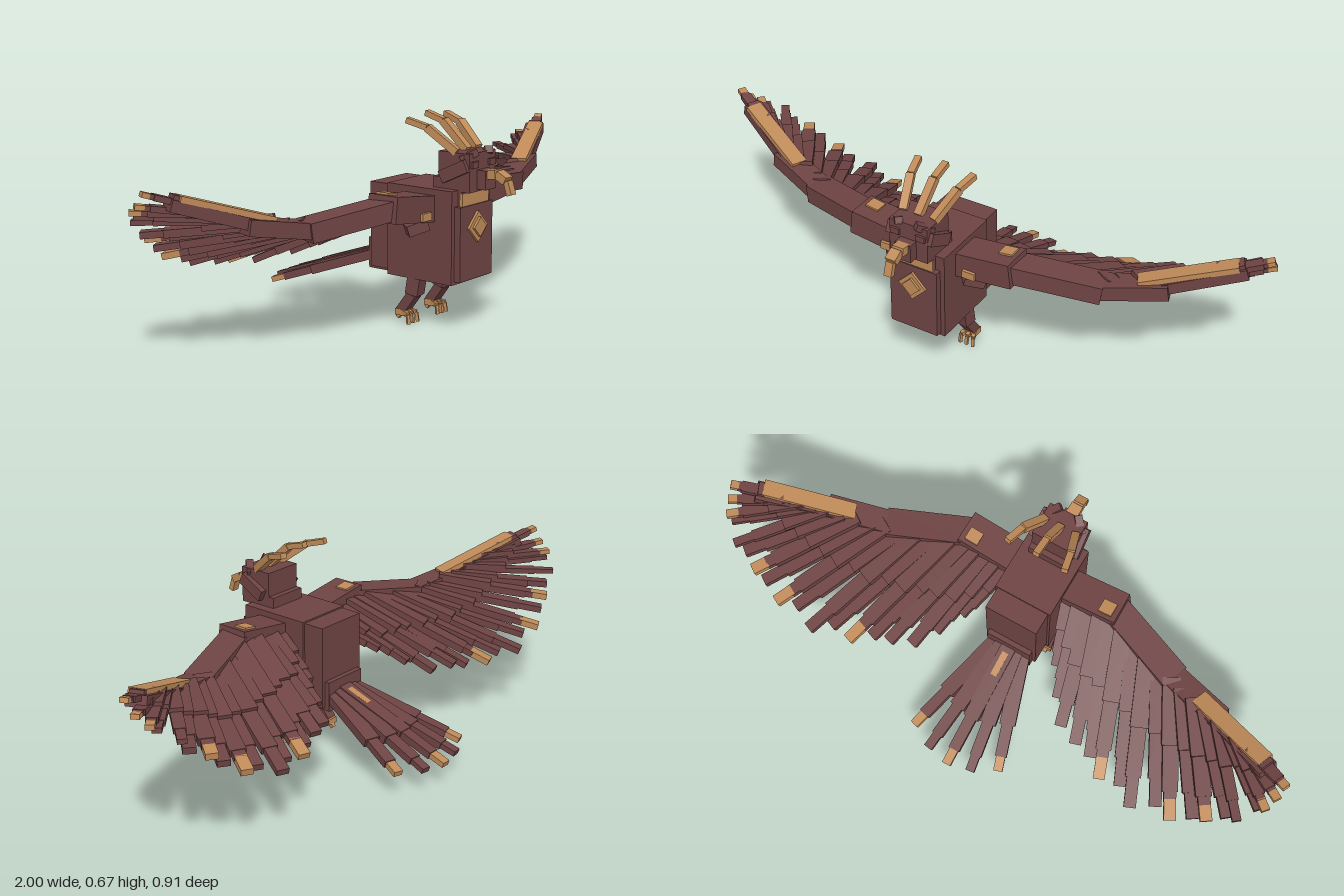
import * as THREE from 'three';

const mat = (name, color) => {
  const m = new THREE.MeshStandardMaterial({ color });
  m.name = name;
  return m;
};

export function createModel() {
  const brown = mat('russet brown', 0x6e4343);
  const gold = mat('gold', 0xbf8a58);
  const model = new THREE.Group();
  const V = (p) => new THREE.Vector3(...p);

  // Axis-aligned block given by its limits on each axis
  function block(name, m, [x0, x1], [y0, y1], [z0, z1], parent = model) {
    const mesh = new THREE.Mesh(new THREE.BoxGeometry(x1 - x0, y1 - y0, z1 - z0), m);
    mesh.position.set((x0 + x1) / 2, (y0 + y1) / 2, (z0 + z1) / 2);
    mesh.name = name;
    parent.add(mesh);
  }
  // Long block running from a to b, w wide and h thick
  function beam(name, m, a, b, w, h, parent = model) {
    const mesh = new THREE.Mesh(new THREE.BoxGeometry(w, h, a.distanceTo(b)), m);
    mesh.position.copy(a);
    mesh.lookAt(b);
    mesh.position.lerpVectors(a, b, 0.5);
    mesh.name = name;
    parent.add(mesh);
  }
  // Beams through a row of points with a width and thickness for each
  function chain(name, m, points, sizes, parent = model) {
    sizes.forEach(([w, h], i) => beam(name, m, V(points[i]), V(points[i + 1]), w, h, parent));
  }

  // Body
  block('body', brown, [-0.1, 0.1], [0.155, 0.45], [0.05, 0.3]);
  block('chest', brown, [-0.085, 0.085], [0.165, 0.4], [0.28, 0.322]);
  block('back', brown, [-0.092, 0.092], [0.17, 0.445], [-0.025, 0.06]);
  block('rump', brown, [-0.08, 0.08], [0.16, 0.26], [-0.042, 0.05]);
  block('neck', brown, [-0.068, 0.068], [0.4, 0.485], [0.205, 0.313]);
  block('collar', gold, [-0.07, 0.07], [0.4, 0.44], [0.31, 0.318]);

  // Chest ornament: stacked diamonds
  [[0.07, 0.326], [0.045, 0.334]].forEach(([s, z]) => {
    const d = new THREE.Mesh(new THREE.BoxGeometry(s, s, 0.009), gold);
    d.rotation.z = Math.PI / 4;
    d.position.set(0, 0.33, z);
    d.name = 'chestDiamond';
    model.add(d);
  });

  // Head and beak
  const head = new THREE.Group();
  head.name = 'head';
  model.add(head);
  block('skull', brown, [-0.068, 0.068], [0.445, 0.565], [0.225, 0.342], head);
  block('beakBase', brown, [-0.028, 0.028], [0.452, 0.512], [0.33, 0.374], head);
  chain('beak', gold, [[0, 0.498, 0.365], [0, 0.503, 0.402], [0, 0.485, 0.436], [0, 0.442, 0.45]],
    [[0.04, 0.028], [0.036, 0.026], [0.026, 0.018]], head);

  // Crest plumes
  [-1, 0, 1].forEach((k) => {
    const lift = k ? -0.012 : 0;
    chain('crestPlume', gold,
      [[k * 0.055, 0.565, 0.285], [k * 0.085, 0.648 + lift, 0.195], [k * 0.1, 0.667 + lift, 0.128]],
      [[0.026, 0.024], [0.022, 0.018]], head);
  });

  // Tail fan
  [-2, -1, 0, 1, 2].forEach((k) => {
    const d = Math.abs(k);
    const a = V([k * 0.022, 0.222 - d * 0.006, -0.02]);
    const b = V([k * 0.08, 0.075 + d * 0.004, [-0.45, -0.433, -0.388][d]]);
    const at = (t) => a.clone().lerp(b, t);
    beam('tailFeather', brown, a, at(0.62), 0.052, 0.03);
    beam('tailFeatherOuter', brown, at(0.55), at(0.88), 0.038, 0.024);
    beam('tailTip', d === 1 ? brown : gold, at(0.86), b, 0.03, 0.018);
  });
  beam('tailMark', gold, V([0, 0.22, -0.06]), V([0, 0.193, -0.14]), 0.022, 0.008);

  // Wing feather tips from the body outward; the last number marks a gilded tip
  const tips = [
    [0.18, 0.3, -0.04, 0], [0.23, 0.26, -0.12, 0], [0.28, 0.23, -0.19, 0], [0.35, 0.235, -0.22, 0],
    [0.41, 0.22, -0.23, 0], [0.47, 0.225, -0.28, 1], [0.54, 0.235, -0.27, 0], [0.6, 0.235, -0.315, 0],
    [0.67, 0.265, -0.28, 0], [0.73, 0.28, -0.3, 1], [0.79, 0.32, -0.27, 0], [0.83, 0.355, -0.265, 1],
    [0.88, 0.38, -0.23, 0], [0.91, 0.42, -0.235, 0], [0.95, 0.45, -0.18, 0], [0.97, 0.465, -0.175, 1],
    [0.985, 0.49, -0.135, 1], [0.99, 0.53, -0.1, 1],
  ];
  const roots = [[0.12, 0.38, 0.15], [0.28, 0.4, 0.14], [0.5, 0.37, 0.085], [0.7, 0.415, 0.02], [0.84, 0.47, -0.03]];

  for (const s of [1, -1]) {
    const M = (p) => [p[0] * s, p[1], p[2]];
    const side = s > 0 ? 'left' : 'right';

    // Face: cheek plates and brow tufts
    beam('cheekPlate', brown, V(M([0.072, 0.53, 0.335])), V(M([0.078, 0.487, 0.245])), 0.02, 0.04, head);
    beam('brow', brown, V(M([0.03, 0.57, 0.345])), V(M([0.065, 0.545, 0.305])), 0.025, 0.022, head);
    block('browRidge', brown, [s * 0.045 - 0.016, s * 0.045 + 0.016], [0.52, 0.54], [0.336, 0.35], head);

    // Wing arm with gold trim
    const wing = new THREE.Group();
    wing.name = side + 'Wing';
    model.add(wing);
    chain('wingArm', brown, [[0.07, 0.385, 0.18], [0.29, 0.413, 0.182]].map(M), [[0.11, 0.082]], wing);
    chain('forearm', brown, [[0.26, 0.41, 0.182], [0.53, 0.373, 0.085]].map(M), [[0.095, 0.06]], wing);
    chain('wrist', brown, [[0.5, 0.373, 0.095], [0.72, 0.412, 0.025]].map(M), [[0.08, 0.048]], wing);
    chain('hand', brown, [[0.68, 0.41, 0.035], [0.92, 0.495, -0.07]].map(M), [[0.065, 0.036]], wing);
    chain('handBand', gold, [[0.63, 0.422, 0.054], [0.9, 0.512, -0.052]].map(M), [[0.054, 0.018]], wing);
    chain('elbowMark', gold, [[0.222, 0.447, 0.163], [0.268, 0.4535, 0.163]].map(M), [[0.045, 0.009]], wing);
    block('shoulderStud', gold, [s * 0.15 - 0.022, s * 0.15 + 0.022], [0.36, 0.385], [0.225, 0.246], wing);
    chain('underarm', brown, [[0.12, 0.345, 0.22], [0.17, 0.325, 0.18]].map(M), [[0.05, 0.035]], wing);

    // Wing feathers with a shorter covert over each
    tips.forEach((tip, i) => {
      const u = (i / (tips.length - 1)) * (roots.length - 1);
      const k = Math.min(Math.floor(u), roots.length - 2);
      const a = V(M(roots[k])).lerp(V(M(roots[k + 1])), u - k);
      const b = V(M(tip));
      a.y += (i % 2) * 0.008;
      const at = (t, dy = 0) => a.clone().lerp(b, t).add(V([0, dy, 0]));
      const w = i > 12 ? 0.036 : 0.05;
      const h = i > 12 ? 0.018 : 0.024;
      beam('covert', brown, at(0, 0.014), at(0.48, 0.012), w + 0.008, h, wing);
      beam('featherVane', brown, a, at(0.8), w, h, wing);
      beam('featherTip', brown, at(0.74), at(tip[3] ? 0.87 : 1), w * 0.78, h * 0.85, wing);
      if (tip[3]) beam('gildedTip', gold, at(0.85), b, w * 0.75, h * 0.85, wing);
    });

    // Leg with gold foot and claws
    const leg = new THREE.Group();
    leg.name = side + 'Leg';
    model.add(leg);
    chain('leg', brown, [[0.072, 0.175, 0.15], [0.074, 0.1, 0.138], [0.076, 0.04, 0.093]].map(M),
      [[0.05, 0.044], [0.038, 0.032]], leg);
    block('foot', gold, [s * 0.076 - 0.02, s * 0.076 + 0.02], [0.026, 0.046], [0.076, 0.118], leg);
    [-1, 0, 1].forEach((t) => {
      const x = s * 0.076;
      chain('toe', gold, [[x + t * 0.012, 0.04, 0.1], [x + t * 0.022, 0.034, 0.13], [x + t * 0.024, 0.004, 0.134]],
        [[0.013, 0.013], [0.01, 0.01]], leg);
    });
    chain('backToe', gold, [[0.076, 0.038, 0.09], [0.076, 0.014, 0.074]].map(M), [[0.013, 0.013]], leg);
  }
  return model;
}
